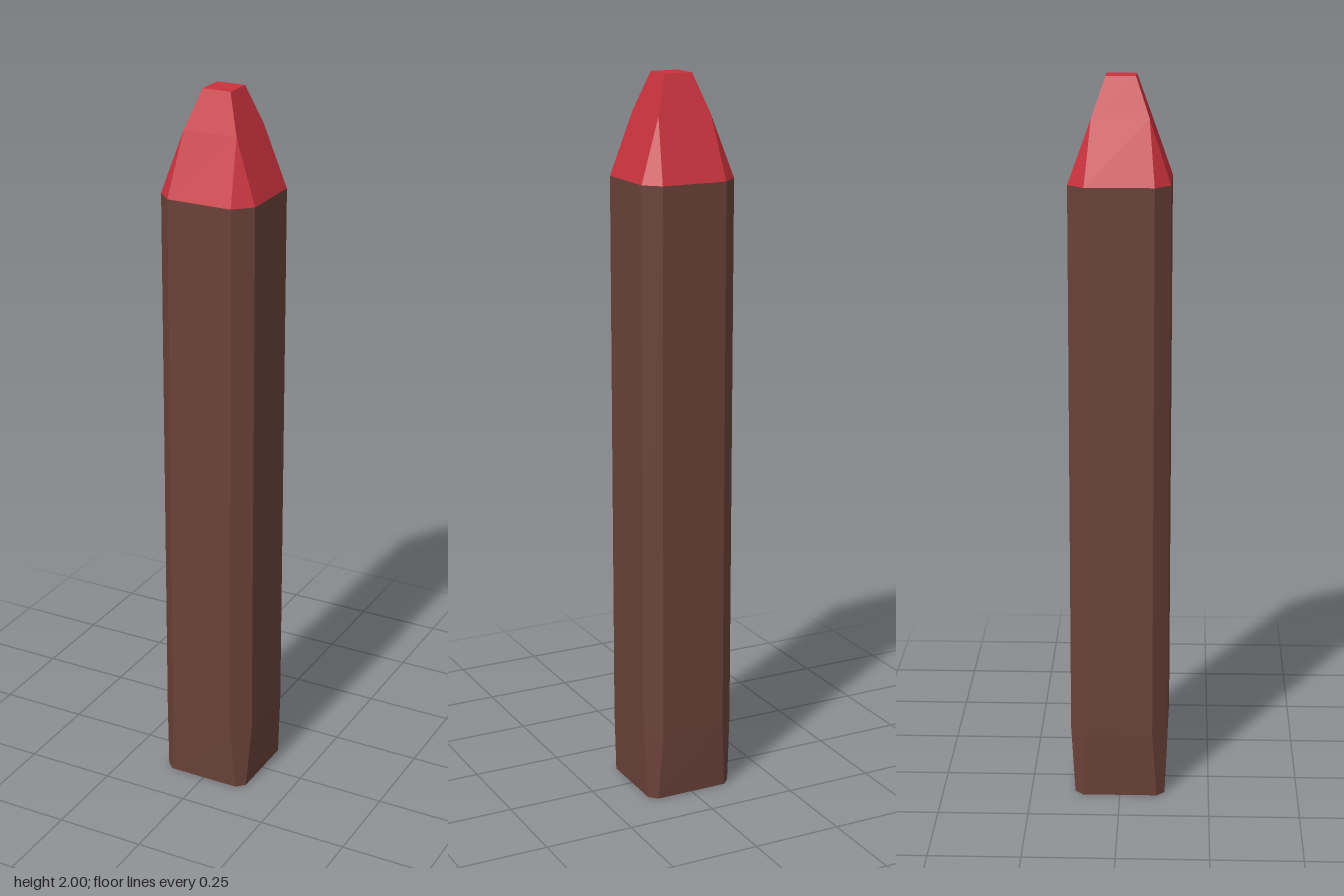
import * as THREE from 'three';

// Slightly irregular chamfered-square outline (x, z), back-left corner first
const OUTLINE = [
  [-0.091, -0.138], [0.094, -0.136], [0.135, -0.096], [0.137, 0.09],
  [0.091, 0.136], [-0.094, 0.133], [-0.136, 0.091], [-0.138, -0.093],
];

const outlineRing = (y) => OUTLINE.map(([x, z]) => new THREE.Vector3(x, y, z));

// Regular eight-point ring: half width and half length of each flat side
function ring(y, half, flat) {
  return OUTLINE.map(([x, z]) => {
    const facesX = Math.abs(x) > Math.abs(z);
    return new THREE.Vector3(
      Math.sign(x) * (facesX ? half : flat), y,
      Math.sign(z) * (facesX ? flat : half));
  });
}

// Flat-faced skin through a stack of rings, optionally closed at the top
function loft(rings, capTop) {
  const pos = [];
  const tri = (a, b, c) => {
    if (a.equals(b) || b.equals(c) || c.equals(a)) return;
    for (const p of [a, b, c]) pos.push(p.x, p.y, p.z);
  };
  for (let r = 0; r < rings.length - 1; r++) {
    const lo = rings[r], hi = rings[r + 1];
    for (let i = 0; i < 8; i++) {
      const j = (i + 1) % 8;
      tri(lo[j], lo[i], hi[i]);
      tri(lo[j], hi[i], hi[j]);
    }
  }
  if (capTop) {
    const top = rings[rings.length - 1];
    for (let i = 1; i < 7; i++) tri(top[0], top[i + 1], top[i]);
  }
  const geo = new THREE.BufferGeometry();
  geo.setAttribute('position', new THREE.Float32BufferAttribute(pos, 3));
  geo.computeVertexNormals();
  return geo;
}

export function createModel() {
  const group = new THREE.Group();
  group.name = 'stake';
  const make = (name, colorName, color, geo) => {
    const mat = new THREE.MeshStandardMaterial({
      color, flatShading: true, side: THREE.DoubleSide });
    mat.name = colorName;
    const mesh = new THREE.Mesh(geo, mat);
    mesh.name = name;
    group.add(mesh);
  };

  // Shaft: open underneath, tapering in at the foot
  make('shaft', 'dark brown', 0x6a4239,
    loft([ring(0, 0.126, 0.104), outlineRing(0.19), outlineRing(1.725)], false));

  // Tip: chamfers run out to a point, then a square pyramid with a blunt end
  make('tip', 'red', 0xc9323d,
    loft([outlineRing(1.725), ring(1.896, 0.076, 0.076), ring(2, 0.04, 0.04)], true));

  return group;
}
